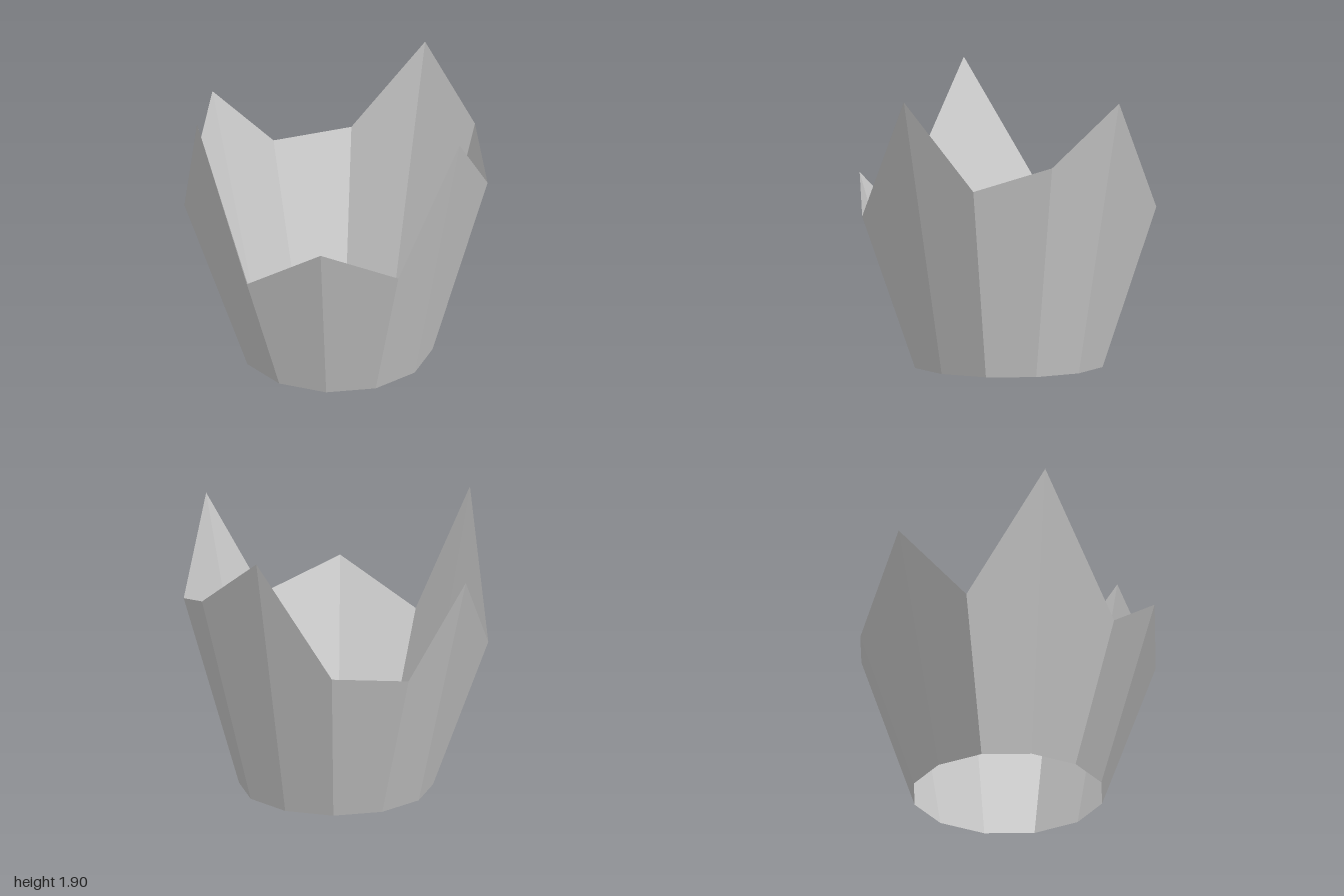
import * as THREE from 'three';

// Rim height at each of the twelve corners, starting at the front (+z) and turning towards +x
const RIM = [0.92, 1.24, 1.02, 1.84, 1.28, 1.435, 1.825, 1.075, 1.02, 1.58, 0.995, 1.9];
const TOP_RADIUS = 1, BASE_RADIUS = 0.637;

function corner(radius, index, height) {
  const angle = (index / RIM.length) * Math.PI * 2;
  return new THREE.Vector3(radius * Math.sin(angle), height, radius * Math.cos(angle));
}

// Open flared wall: one evenly shaded four-cornered panel per side
function wallGeometry() {
  const positions = [], normals = [];
  for (let i = 0; i < RIM.length; i++) {
    const next = (i + 1) % RIM.length;
    const topA = corner(TOP_RADIUS, i, RIM[i]);
    const topB = corner(TOP_RADIUS, next, RIM[next]);
    const baseA = corner(BASE_RADIUS, i, 0);
    const baseB = corner(BASE_RADIUS, next, 0);

    // The panel normal is square to both diagonals
    const normal = topB.clone().sub(baseA).cross(topA.clone().sub(baseB)).normalize();

    // The fold runs from the first rim corner to the second base corner
    for (const p of [topA, baseA, baseB, topA, baseB, topB]) {
      positions.push(...p.toArray());
      normals.push(...normal.toArray());
    }
  }
  const geometry = new THREE.BufferGeometry();
  geometry.setAttribute('position', new THREE.Float32BufferAttribute(positions, 3));
  geometry.setAttribute('normal', new THREE.Float32BufferAttribute(normals, 3));
  return geometry;
}

export function createModel() {
  const group = new THREE.Group();
  group.name = 'jaggedCup';
  const wall = new THREE.Mesh(wallGeometry(), new THREE.MeshStandardMaterial({
    color: 0xcccccc, side: THREE.DoubleSide,
  }));
  wall.name = 'wall';
  group.add(wall);
  return group;
}
